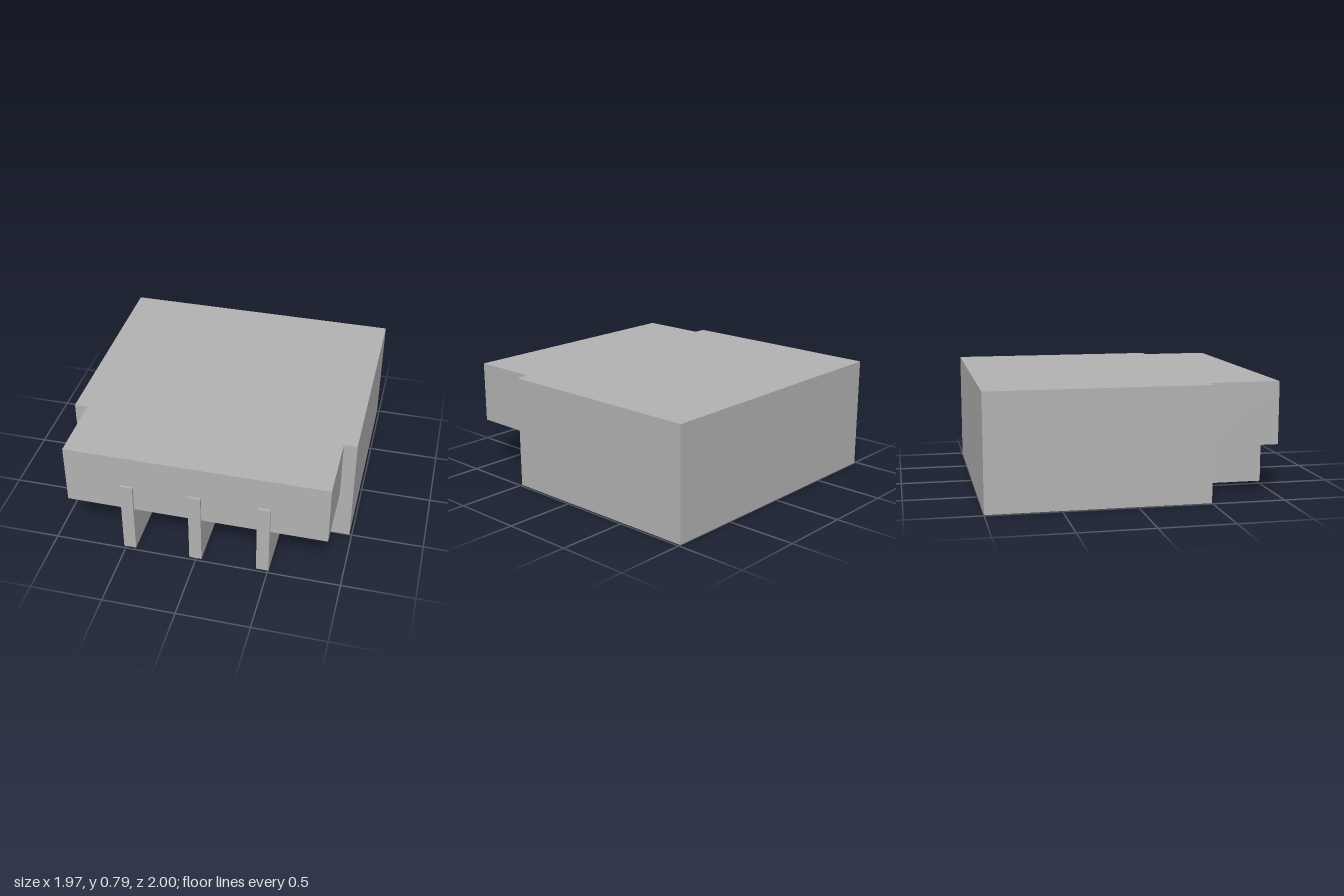
import * as THREE from 'three';

export function createModel() {
  const group = new THREE.Group();
  const grey = new THREE.MeshStandardMaterial({ color: 0xb2b2b2 });
  grey.name = 'grey';

  // Box given by its extents along each axis
  function block(name, [x0, x1], [y0, y1], [z0, z1]) {
    const mesh = new THREE.Mesh(new THREE.BoxGeometry(x1 - x0, y1 - y0, z1 - z0), grey);
    mesh.position.set((x0 + x1) / 2, (y0 + y1) / 2, (z0 + z1) / 2);
    mesh.name = name;
    group.add(mesh);
  }

  // Main block, standing on the ground
  block('mainBody', [-0.984, 0.984], [0, 0.787], [-1, 0.5]);

  // Upper storey overhanging the front
  block('frontOverhang', [-0.893, 0.893], [0.36, 0.787], [0.5, 0.982]);

  // Three thin fins carrying the overhang, standing slightly proud of it
  const fins = { rightFin: -0.466, middleFin: 0, leftFin: 0.466 };
  for (const [name, x] of Object.entries(fins)) {
    block(name, [x - 0.043, x + 0.043], [0.02, 0.36], [0.5, 1]);
    block(name + 'Tip', [x - 0.043, x + 0.043], [0.36, 0.556], [0.982, 1]);
  }

  return group;
}
